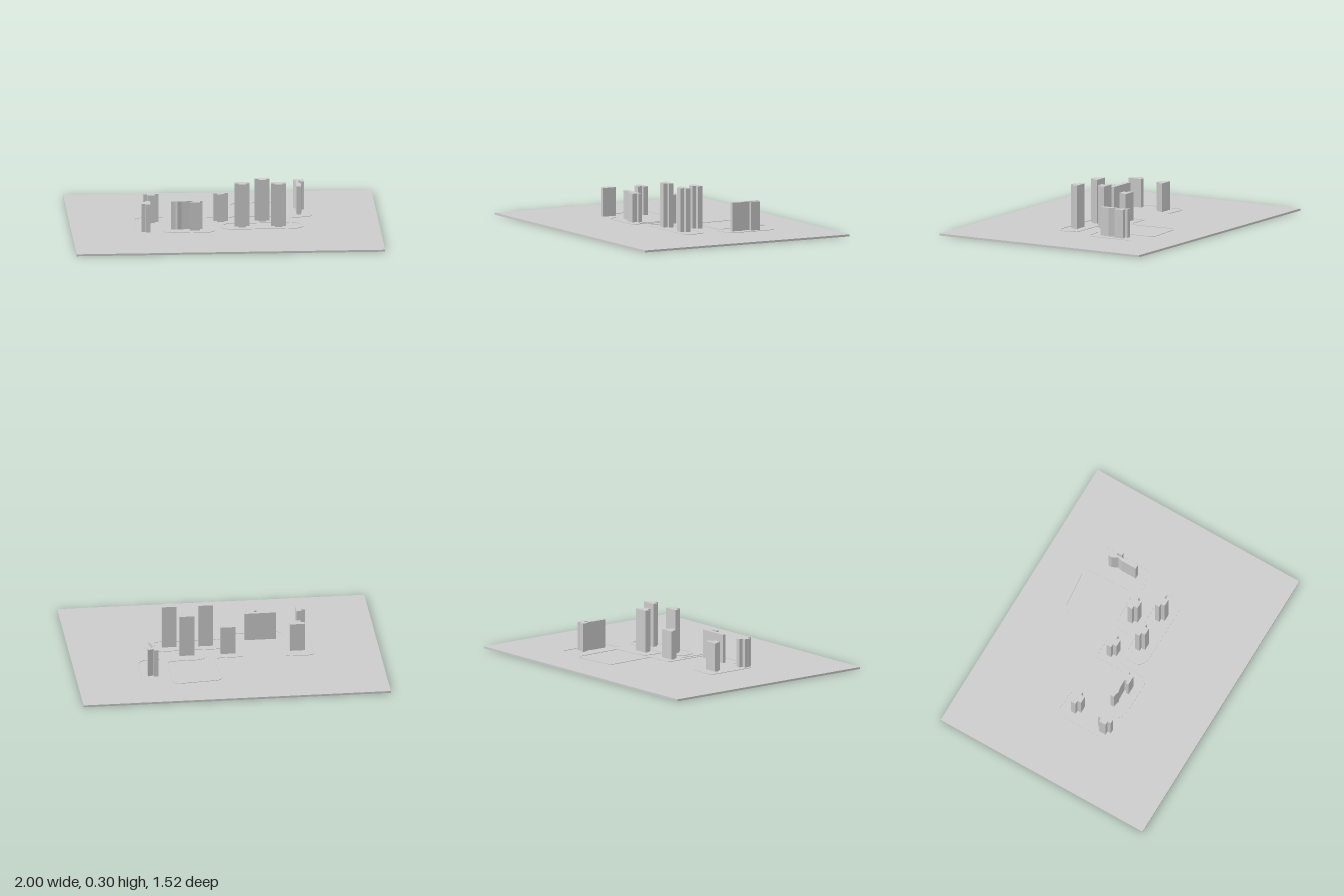
import * as THREE from 'three';

const PLATE = 0.013;

export function createModel() {
  const model = new THREE.Group();
  const material = new THREE.MeshStandardMaterial({ color: 0xcccccc, flatShading: true });

  // Raises a plan outline of [x, z] points from y0 to y1
  function prism(name, outline, y0, y1) {
    const shape = new THREE.Shape(outline.map(([x, z]) => new THREE.Vector2(x, -z)));
    const geometry = new THREE.ExtrudeGeometry(shape, { depth: y1 - y0, bevelEnabled: false });
    geometry.rotateX(-Math.PI / 2);
    geometry.translate(0, y0, 0);
    const mesh = new THREE.Mesh(geometry, material);
    mesh.name = name;
    model.add(mesh);
  }

  // Ground plate
  const plate = new THREE.Mesh(new THREE.BoxGeometry(2, PLATE, 1.516), material);
  plate.name = 'groundPlate';
  plate.position.y = PLATE / 2;
  model.add(plate);

  // Towers with a T-shaped plan, the stem facing the front: [centre x, back z, height]
  const towers = [
    [-0.472, -0.06, 0.2], [-0.02, -0.06, 0.2], [0.248, -0.06, 0.29],
    [0.11, 0.077, 0.3], [0.347, 0.085, 0.298],
  ];
  const tee = [
    [-0.048, 0], [0.048, 0], [0.048, 0.033], [0.024, 0.033],
    [0.024, 0.06], [-0.024, 0.06], [-0.024, 0.033], [-0.048, 0.033],
  ];
  towers.forEach(([x, z, h], i) =>
    prism(`tower${i + 1}`, tee.map(([a, b]) => [x + a, z + b]), PLATE, h));

  // The same plan turned so that its stem faces -x
  prism('sideTower', tee.map(([a, b]) => [-0.489 - b * 0.95, 0.189 + a]), PLATE, 0.2);

  // Long stepped blocks
  prism('frontBlock', [
    [-0.353, 0.138], [-0.15, 0.138], [-0.15, 0.165], [-0.167, 0.165], [-0.167, 0.2],
    [-0.232, 0.2], [-0.232, 0.18], [-0.215, 0.18], [-0.215, 0.162], [-0.285, 0.165],
    [-0.31, 0.172], [-0.325, 0.165], [-0.353, 0.162],
  ], PLATE, 0.2);
  prism('rearBlock', [
    [0.468, -0.363], [0.497, -0.363], [0.497, -0.342], [0.535, -0.353], [0.535, -0.288],
    [0.513, -0.288], [0.513, -0.32], [0.5, -0.32], [0.5, -0.27], [0.515, -0.23],
    [0.508, -0.165], [0.48, -0.165], [0.48, -0.27], [0.487, -0.3], [0.468, -0.34],
  ], PLATE, 0.2);

  // Thin raised strip along a path with rounded corners
  function road(name, points, width, closed = false, radius = 0.05) {
    const path = new THREE.CurvePath();
    const v = points.map(([x, z]) => new THREE.Vector3(x, 0, z));
    const n = v.length;
    const toward = (a, b) => a.clone().add(
      b.clone().sub(a).setLength(Math.min(radius, a.distanceTo(b) * 0.49)));
    let start = closed ? toward(v[0], v[1]) : v[0];
    for (let i = 1; i < (closed ? n + 1 : n - 1); i++) {
      const corner = v[i % n];
      const a = toward(corner, v[i - 1]);
      const b = toward(corner, v[(i + 1) % n]);
      path.add(new THREE.LineCurve3(start, a));
      path.add(new THREE.QuadraticBezierCurve3(a, corner, b));
      start = b;
    }
    if (!closed) path.add(new THREE.LineCurve3(start, v[n - 1]));
    const steps = 80, positions = [], indices = [];
    for (let i = 0; i <= steps; i++) {
      const p = path.getPointAt(i / steps), t = path.getTangentAt(i / steps);
      const dx = -t.z * width / 2, dz = t.x * width / 2;
      // Section: right bottom, right top, left top, left bottom
      for (const [s, y] of [[1, PLATE], [1, PLATE + 0.003], [-1, PLATE + 0.003], [-1, PLATE]])
        positions.push(p.x + s * dx, y, p.z + s * dz);
      if (i < steps) for (let k = 0; k < 3; k++) {
        const a = i * 4 + k;
        indices.push(a, a + 4, a + 1, a + 1, a + 4, a + 5);
      }
    }
    const geometry = new THREE.BufferGeometry();
    geometry.setAttribute('position', new THREE.Float32BufferAttribute(positions, 3));
    geometry.setIndex(indices);
    geometry.computeVertexNormals();
    const stripMaterial = material.clone();
    stripMaterial.side = THREE.DoubleSide;
    const mesh = new THREE.Mesh(geometry, stripMaterial);
    mesh.name = name;
    model.add(mesh);
  }

  // Roads between the buildings
  road('loopRoad', [[-0.02, 0.03], [0.5, 0.03], [0.5, 0.18], [-0.02, 0.18]], 0.02, true, 0.075);
  road('rearRoad', [[0.39, -0.15], [0.38, -0.49], [0.06, -0.46], [0.075, -0.115], [-0.11, -0.115]], 0.01);
  road('middleRoad', [[0.39, -0.15], [0.36, -0.13], [0.13, -0.13], [0.13, 0.02]], 0.016, false, 0.08);
  road('centreRoad', [[-0.11, -0.115], [-0.11, 0.18]], 0.008);
  road('frontRoad', [[-0.41, 0.19], [-0.39, 0.25], [-0.08, 0.25], [-0.065, 0.03]], 0.01);
  road('westRoad', [[-0.39, -0.13], [-0.575, -0.14], [-0.575, 0.19]], 0.01);
  road('eastRoad', [[0.43, -0.09], [0.575, -0.11], [0.575, -0.43]], 0.01);

  return model;
}
